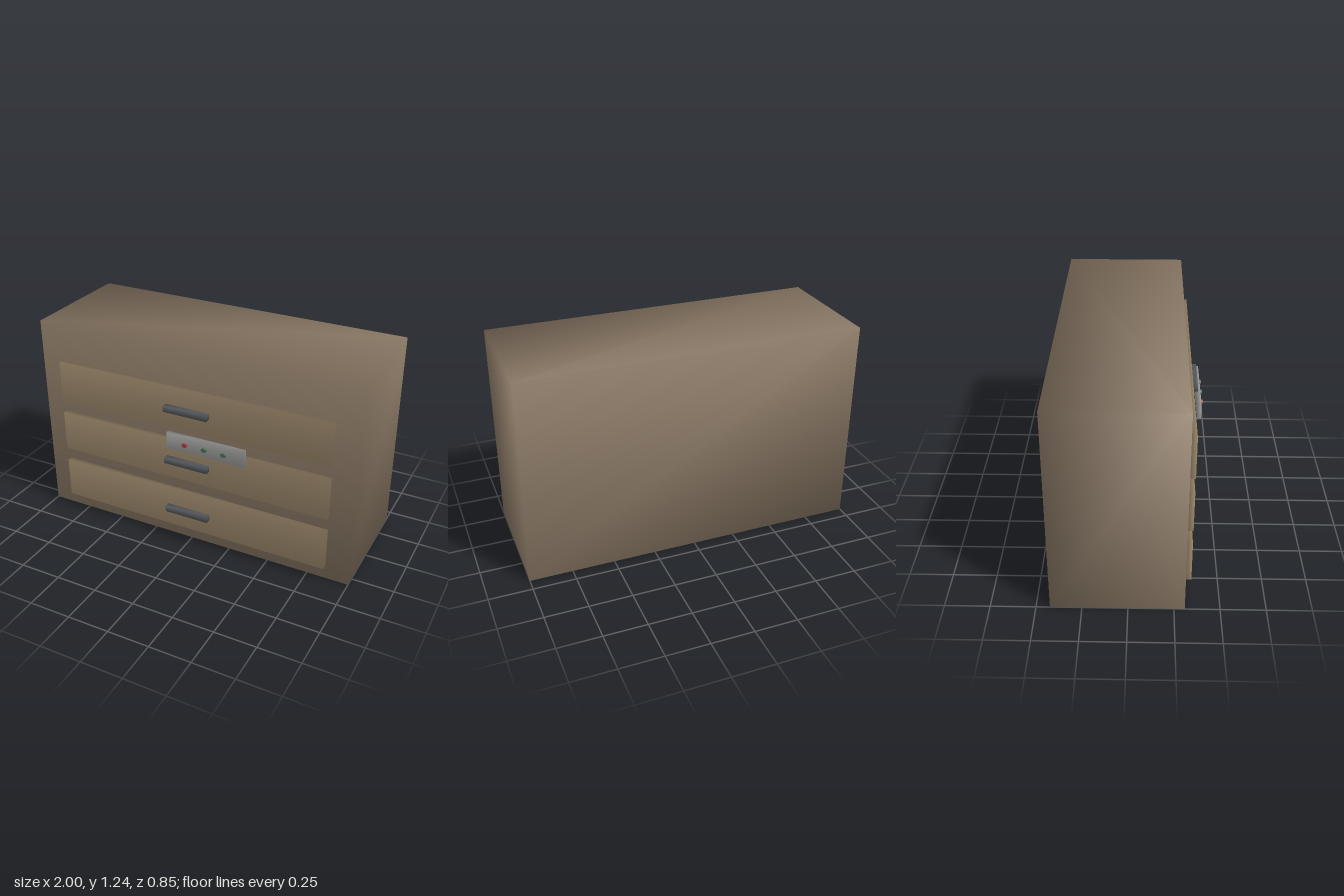
import * as THREE from 'three';
import { mergeVertices } from 'three/addons/utils/BufferGeometryUtils.js';

const paint = (color) => new THREE.MeshStandardMaterial({ color });
const bodyWood = paint(0x8c7a66);
const drawerWood = paint(0xa08c6e);
const darkMetal = paint(0x55585c);
const paleMetal = paint(0xa2a2a0);

// Weld shared corners so that normals blend softly around the edges
function soften(geometry) {
  geometry.deleteAttribute('normal');
  geometry.deleteAttribute('uv');
  const welded = mergeVertices(geometry);
  welded.computeVertexNormals();
  return welded;
}

// Box given by its extents along each axis
function block(name, material, [x0, x1], [y0, y1], [z0, z1]) {
  const geometry = soften(new THREE.BoxGeometry(x1 - x0, y1 - y0, z1 - z0));
  const mesh = new THREE.Mesh(geometry, material);
  mesh.position.set((x0 + x1) / 2, (y0 + y1) / 2, (z0 + z1) / 2);
  mesh.name = name;
  return mesh;
}

export function createModel() {
  const model = new THREE.Group();
  model.name = 'chestOfDrawers';

  // Cabinet body
  model.add(block('cabinetBody', bodyWood, [-1, 1], [0, 1.236], [-0.424, 0.309]));

  // Three drawer fronts, each with a bar handle
  for (let i = 0; i < 3; i++) {
    const y = 0.213 + i * 0.337;
    const drawer = new THREE.Group();
    drawer.name = `drawer${i + 1}`;
    drawer.add(
      block('drawerFront', drawerWood, [-0.86, 0.86], [y - 0.125, y + 0.125], [0.314, 0.347]),
      block('drawerHandle', darkMetal, [-0.138, 0.138], [y - 0.017, y + 0.017], [0.347, 0.384])
    );
    model.add(drawer);
  }

  // Control panel with three slightly flattened round buttons
  const panel = new THREE.Group();
  panel.name = 'controlPanel';
  panel.add(block('panelPlate', paleMetal, [-0.1, 0.387], [0.66, 0.76], [0.388, 0.413]));
  [0xa04a48, 0x55705c, 0x55705c].forEach((color, i) => {
    const geometry = new THREE.CylinderGeometry(0.017, 0.017, 0.014, 24).rotateX(Math.PI / 2);
    const button = new THREE.Mesh(geometry, paint(color));
    button.scale.y = 0.75;
    button.position.set(0.021 + i * 0.121, 0.711, 0.42);
    button.name = `button${i + 1}`;
    panel.add(button);
  });
  model.add(panel);

  return model;
}
